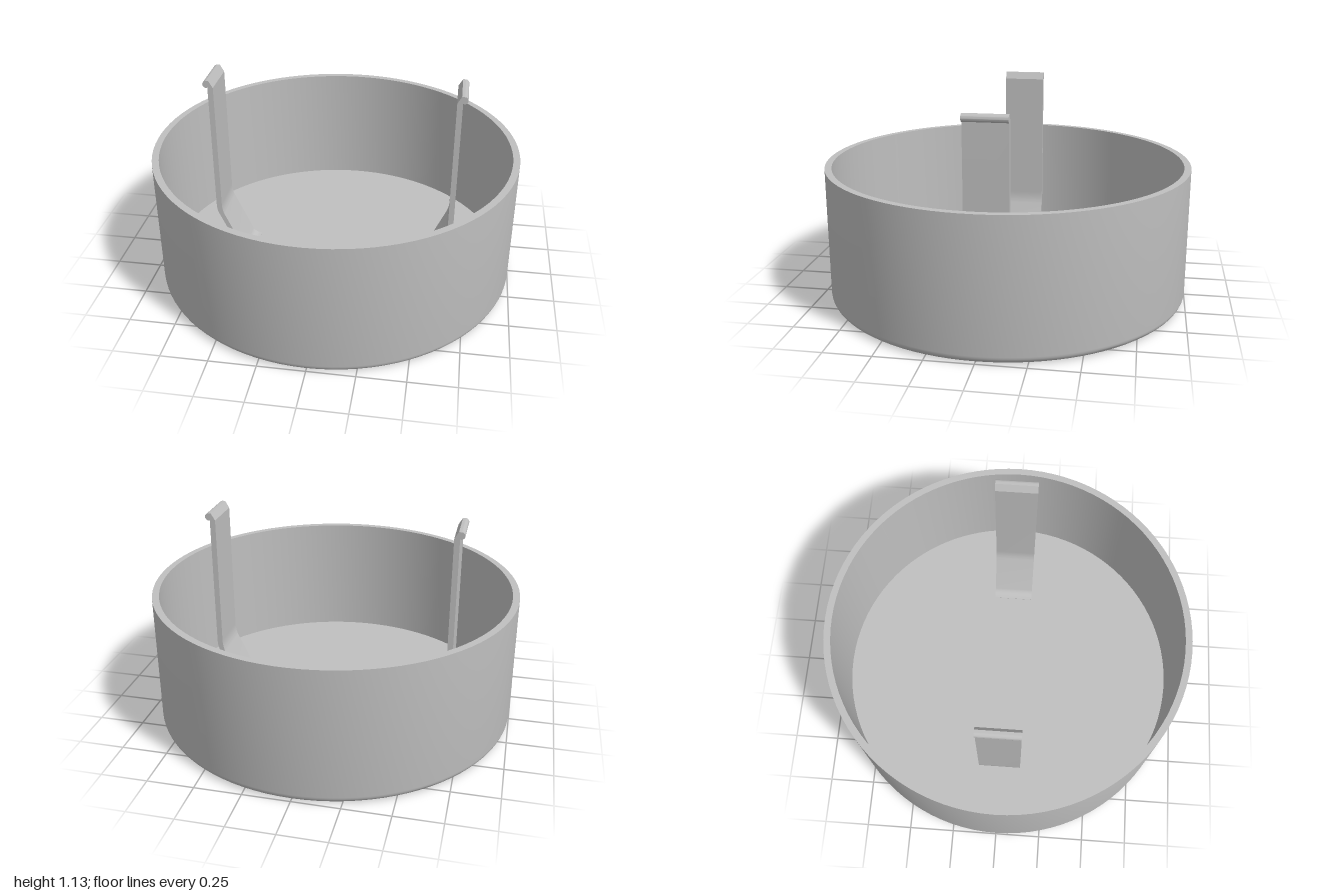
import * as THREE from 'three';
import { toCreasedNormals } from 'three/addons/utils/BufferGeometryUtils.js';

const grey = new THREE.MeshStandardMaterial({ color: 0xbfbfbf });
grey.name = 'grey';

// Round cup with a filleted bottom edge, turned from one closed profile
function createCup() {
  const R = 1, inner = 0.963, height = 0.74, floor = 0.04, fillet = 0.04;
  const profile = [new THREE.Vector2(0, 0)];
  for (let i = 0; i <= 6; i++) {
    const a = (i / 6) * Math.PI / 2;
    profile.push(new THREE.Vector2(R - fillet + fillet * Math.sin(a), fillet - fillet * Math.cos(a)));
  }
  profile.push(
    new THREE.Vector2(R, height),
    new THREE.Vector2(inner, height),
    new THREE.Vector2(inner, floor),
    new THREE.Vector2(0, floor)
  );
  const cup = new THREE.Mesh(toCreasedNormals(new THREE.LatheGeometry(profile, 96), 0.6), grey);
  cup.name = 'cup';
  return cup;
}

// Springy clip: slanted foot blending into the floor, upright strip, rounded catch on the outside
function createClipGeometry() {
  const width = 0.23;
  const s = new THREE.Shape();
  s.moveTo(0.475, 0.03);
  s.lineTo(0.535, 0.03);
  s.lineTo(0.661, 0.305);
  s.quadraticCurveTo(0.673, 0.33, 0.673, 0.37);
  s.lineTo(0.673, 1.092);
  s.absarc(0.679, 1.11, 0.02, -Math.PI / 2, Math.PI / 2, false);
  s.lineTo(0.665, 1.13);
  s.lineTo(0.643, 1.092);
  s.lineTo(0.643, 0.37);
  s.quadraticCurveTo(0.643, 0.33, 0.63, 0.3);
  s.lineTo(0.53, 0.08);
  s.quadraticCurveTo(0.514, 0.042, 0.475, 0.042);
  const geometry = new THREE.ExtrudeGeometry(s, { depth: width, bevelEnabled: false, curveSegments: 10 });
  geometry.translate(0, 0, -width / 2);
  return toCreasedNormals(geometry, 0.45);
}

export function createModel() {
  const model = new THREE.Group();
  model.name = 'clipCup';
  model.add(createCup());

  // The two clips face away from each other
  const clipGeometry = createClipGeometry();
  ['leftClip', 'rightClip'].forEach((name, i) => {
    const clip = new THREE.Mesh(clipGeometry, grey);
    clip.name = name;
    clip.rotation.y = i * Math.PI;
    model.add(clip);
  });
  return model;
}
